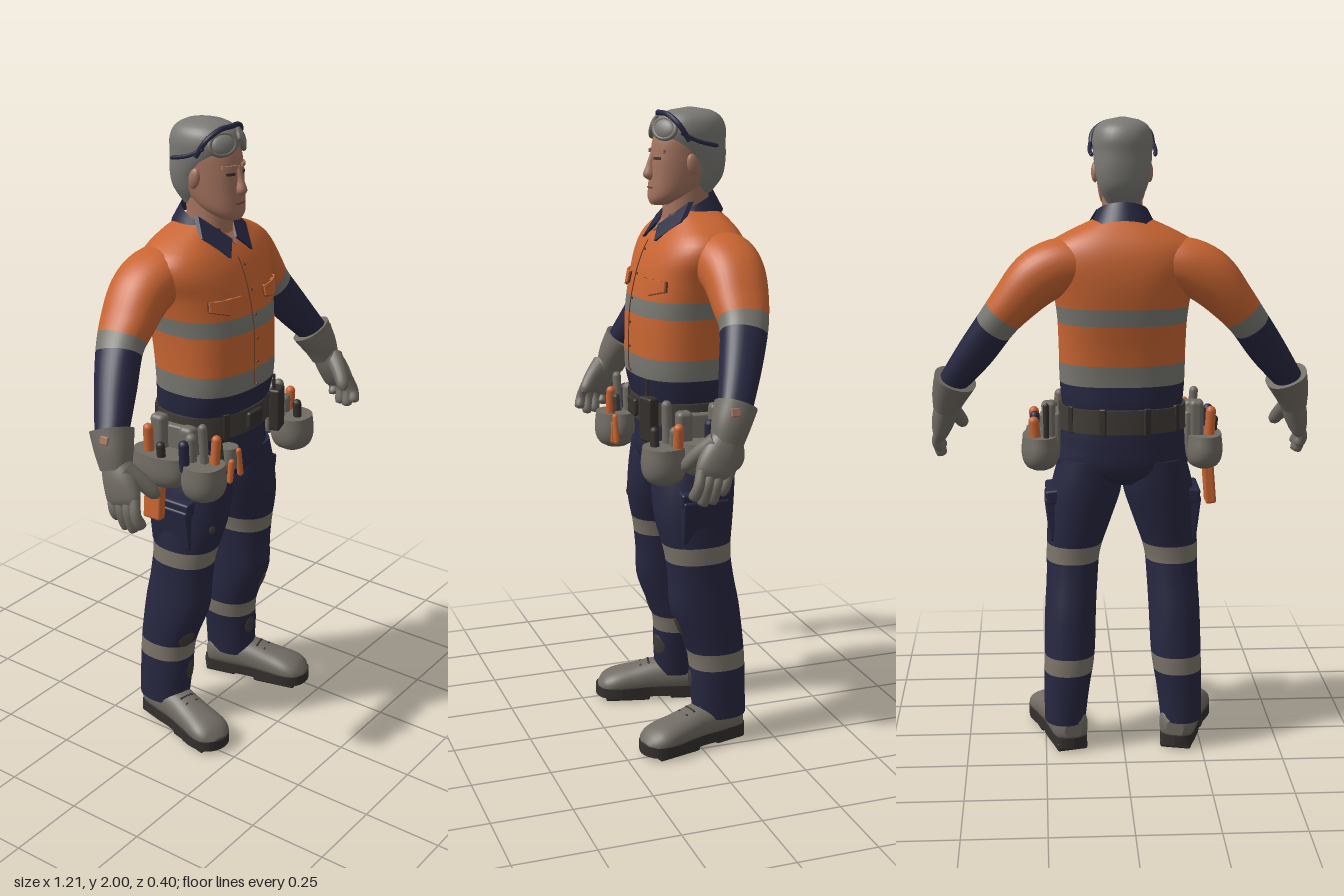
import * as THREE from 'three';
import { RoundedBoxGeometry } from 'three/addons/geometries/RoundedBoxGeometry.js';

const mat = (name, color) => Object.assign(new THREE.MeshStandardMaterial({ color }), { name });
const orange = mat('orange', 0xc96532), navy = mat('navy', 0x272741), tape = mat('shirt tape', 0x787770), legTape = mat('trouser tape', 0x7b746a);
const hair = mat('hair grey', 0x7a7974), leather = mat('leather', 0x716c64), skin = mat('skin', 0xa3725e);
const rubber = mat('rubber', 0x34302d), belt = mat('belt brown', 0x403b36), seam = mat('seam', 0x6e3d26);
navy.side = THREE.DoubleSide;

const V = (...p) => new THREE.Vector3(...p);
const Z = V(0, 0, 1), Y = V(0, 1, 0);

// Smooth interpolation of key rows; column 0 is the parameter
function sample(k, t) {
  let i = 0;
  while (i < k.length - 2 && t > k[i + 1][0]) i++;
  const a = k[i], b = k[i + 1], p = k[i - 1] ?? a, q = k[i + 2] ?? b, h = b[0] - a[0];
  const u = THREE.MathUtils.clamp((t - a[0]) / h, 0, 1), u2 = u * u, u3 = u2 * u;
  return a.map((v, c) => (2 * u3 - 3 * u2 + 1) * v + (3 * u2 - 2 * u3) * b[c]
    + (u3 - 2 * u2 + u) * h * (b[c] - p[c]) / (b[0] - p[0]) + (u3 - u2) * h * (q[c] - a[c]) / (q[0] - a[0]));
}

// Rings along keys [t, x, y, z, ra, rb]; bands = [[tEnd, material], ...] colour it by t
function loft(name, keys, bands, { axis, ref = Z, steps = 24, seg = 32, n = 2.2 } = {}) {
  if (!Array.isArray(bands)) bands = [[Infinity, bands]];
  const t0 = keys[0][0], t1 = keys.at(-1)[0], pos = [], index = [];
  const ts = bands.map(b => b[0]).filter(t => t > t0 && t < t1);
  for (let i = 0; i <= steps; i++) {
    const t = t0 + (t1 - t0) * i / steps;
    if (!ts.some(o => Math.abs(o - t) < 1e-5)) ts.push(t);
  }
  ts.sort((a, b) => a - b);
  const e = (t1 - t0) * 0.01, at = t => V(...sample(keys, t).slice(1, 4));
  const ring = t => {
    const T = axis ?? at(t + e).sub(at(t - e)).normalize();
    const A = T.clone().cross(ref).normalize(), B = A.clone().cross(T), k = sample(keys, t);
    for (let j = 0; j < seg; j++) {
      const w = j / seg * Math.PI * 2, c = Math.cos(w), s = Math.sin(w);
      const f = (v, r) => Math.sign(v) * Math.abs(v) ** (2 / n) * Math.max(r, 0.001);
      pos.push(...at(t).addScaledVector(A, f(c, k[4])).addScaledVector(B, f(s, k[5])).toArray());
    }
  };
  ts.forEach(ring);
  const geo = new THREE.BufferGeometry();
  const bandOf = t => bands.findIndex(b => t < b[0]);
  for (let i = 0; i < ts.length - 1; i++) {
    geo.addGroup(index.length, seg * 6, bandOf((ts[i] + ts[i + 1]) / 2));
    for (let j = 0; j < seg; j++) {
      const a = i * seg + j, b = i * seg + (j + 1) % seg;
      index.push(a, a + seg, b, b, a + seg, b + seg);
    }
  }
  // end caps with their own vertices
  for (const [t, flip] of [[t0, false], [t1, true]]) {
    const s = pos.length / 3;
    ring(t);
    pos.push(...at(t).toArray());
    geo.addGroup(index.length, seg * 3, flip ? bands.length - 1 : 0);
    for (let j = 0; j < seg; j++) {
      const a = s + j, b = s + (j + 1) % seg;
      index.push(s + seg, ...(flip ? [b, a] : [a, b]));
    }
  }
  geo.setAttribute('position', new THREE.Float32BufferAttribute(pos, 3)).setIndex(index);
  geo.computeVertexNormals();
  const m = new THREE.Mesh(geo, bands.map(b => b[1]));
  m.name = name;
  return m;
}

// Upright loft from rows [y, cx, cz, rx, rz]
const column = (name, rows, bands, o = {}) =>
  loft(name, rows.map(([y, x, z, a, b]) => [y, x, y, z, a, b]), bands, { axis: Y, ...o });
// Round tube through points with a rounded tip
const tube = (name, pts, r, m) => loft(name,
  [...pts.map((p, i) => [i * 0.9 / (pts.length - 1), ...p, r, r]), [1, ...pts.at(-1).map((v, c) => v + (v - pts.at(-2)[c]) * 0.12), r * .35, r * .35]],
  m, { steps: 12, seg: 12, n: 2 });
const part = (name, geo, m, p = [0, 0, 0], r = [0, 0, 0], s = [1, 1, 1]) => {
  const o = new THREE.Mesh(geo, m);
  o.name = name; o.position.set(...p); o.rotation.set(...r); o.scale.set(...s);
  return o;
};
const rbox = (w, h, d, r = 0.008) => new RoundedBoxGeometry(w, h, d, 3, r);
// Lay a geometry on the front of a column
function hug(geo, rows, n = 2.2) {
  const p = geo.attributes.position;
  for (let i = 0; i < p.count; i++) {
    const [, cx, cz, rx, rz] = sample(rows, p.getY(i));
    const f = Math.max(0, 1 - (Math.abs(p.getX(i) - cx) / rx) ** n) ** (1 / n);
    p.setZ(i, p.getZ(i) + cz + rz * f);
  }
  geo.computeVertexNormals();
  return geo;
}

const TORSO_N = 2.5;
const torso = [[1.08, 0, -.02, .18, .14], [1.13, 0, -.015, .19, .15], [1.2, 0, -.008, .196, .157], [1.3, 0, -.012, .198, .162],
  [1.4, 0, -.022, .203, .167], [1.5, 0, -.037, .22, .162], [1.57, 0, -.047, .243, .148], [1.62, 0, -.054, .228, .127],
  [1.66, 0, -.057, .163, .1], [1.7, 0, -.05, .075, .07]];
const head = [[1.71, 0, .05, .025, .03], [1.725, 0, .035, .05, .052], [1.75, 0, .01, .066, .077], [1.8, 0, -.015, .076, .098],
  [1.86, 0, -.03, .081, .108], [1.92, 0, -.04, .08, .105], [1.97, 0, -.045, .06, .075], [1.985, 0, -.045, .03, .04]];
const legRows = s => [[.09, .188 * s, -.08, .066, .086], [.2, .181 * s, -.076, .073, .09], [.3, .172 * s, -.072, .08, .092],
  [.45, .167 * s, -.037, .082, .112], [.55, .161 * s, -.025, .082, .106], [.64, .156 * s, -.015, .086, .106], [.75, .135 * s, -.01, .102, .125],
  [.85, .114 * s, -.015, .112, .132], [.95, .1 * s, -.02, .1, .13]];

function buildArm(g, s) {
  const side = s > 0 ? 'left' : 'right';
  g.add(loft(side + 'Sleeve', [[0, .11 * s, 1.565, -.07, .078, .1], [.2, .2 * s, 1.553, -.083, .086, .1],
    [.35, .265 * s, 1.518, -.088, .086, .095], [.6, .34 * s, 1.44, -.082, .07, .084], [.75, .385 * s, 1.385, -.073, .062, .072],
    [1, .455 * s, 1.285, -.035, .058, .062], [1.2, .53 * s, 1.185, .01, .045, .05]],
  [[.69, orange], [.79, tape], [Infinity, navy]], { steps: 30 }));
  g.add(loft(side + 'GloveCuff', [[0, .523 * s, 1.192, .005, .068, .062], [.5, .543 * s, 1.14, .028, .056, .056],
    [1, .556 * s, 1.09, .045, .042, .047]], leather, { steps: 10 }));
  g.add(part(side + 'CuffPatch', rbox(.01, .026, .03, .004), skin, [.587 * s, 1.188, .03], [0, 0, .3 * s]));
  g.add(loft(side + 'Palm', [[0, .55 * s, 1.11, .04, .038, .046], [.5, .564 * s, 1.06, .068, .038, .056],
    [.9, .576 * s, 1.01, .09, .027, .057], [1, .577 * s, .995, .095, .016, .047]], leather, { steps: 12 }));
  [.955, .93, .927, .945].forEach((y, i) => {
    const z = .047 + .027 * i;
    g.add(tube(side + 'Finger', [[.576 * s, 1.025, z], [.589 * s, .98, z + .014], [.577 * s, y, z + .024]], .0165, leather));
  });
  g.add(loft(side + 'Thumb', [[0, .558 * s, 1.1, .075, .03, .032], [.5, .53 * s, 1.06, .12, .024, .025],
    [.9, .508 * s, 1.022, .15, .019, .019], [1, .503 * s, 1.012, .157, .008, .008]], leather, { steps: 14, seg: 16, n: 2 }));
}

function buildLeg(g, s) {
  const side = s > 0 ? 'left' : 'right';
  g.add(column(side + 'TrouserLeg', legRows(s),
    [[.255, navy], [.31, legTape], [.613, navy], [.668, legTape], [Infinity, navy]], { steps: 30 }));
  // cargo pocket
  g.add(part(side + 'CargoPocket', rbox(.04, .14, .15), navy, [.22 * s, .755, -.015], [0, 0, -.12 * s]));
  g.add(part(side + 'CargoFlap', rbox(.046, .045, .16), navy, [.22 * s, .828, -.015], [0, 0, -.12 * s]));
  // boot
  const boot = new THREE.Group();
  boot.name = side + 'Boot';
  boot.position.x = .203 * s;
  boot.rotation.y = .25 * s;
  boot.add(loft('bootUpper', [[-.16, 0, .07, -.16, .028, .03], [-.145, 0, .075, -.145, .052, .055], [-.08, 0, .08, -.08, .06, .06],
    [0, 0, .075, 0, .057, .056], [.08, 0, .064, .08, .061, .049], [.15, 0, .055, .15, .066, .041], [.185, 0, .048, .185, .052, .029],
    [.2, 0, .042, .2, .025, .012]], leather, { axis: Z, ref: Y }));
  boot.add(column('bootShaft', [[.07, 0, -.075, .058, .075], [.15, 0, -.085, .05, .06]], leather, { steps: 4 }));
  const half = [[.048, -.15], [.057, -.06], [.056, .02], [.07, .12], [.052, .185]];
  const outline = [[0, -.17], ...half, [0, .207], ...half.map(([x, z]) => [-x, z]).reverse()].map(p => new THREE.Vector2(...p));
  const sole = new THREE.Shape(new THREE.SplineCurve([...outline, outline[0]]).getPoints(48).slice(0, -1));
  boot.add(part('sole', new THREE.ExtrudeGeometry(sole, { depth: .034, bevelEnabled: false }), rubber, [0, .048, 0], [Math.PI / 2, 0, 0]));
  boot.add(part('heel', rbox(.1, .03, .11), rubber, [0, .015, -.1]));
  boot.add(part('forefootTread', rbox(.115, .03, .15), rubber, [0, .015, .1]));
  for (let i = 0; i < 3; i++)
    boot.add(part('lace', rbox(.05, .006, .007, .002), rubber, [0, .131 - i * .008, .0 + i * .027], [.25, 0, 0]));
  g.add(boot);
}

function buildPouch(g, x, z, rx, rz, y0, y1) {
  const h = y1 - y0;
  g.add(column('toolPouch', [[y0, x, z, rx * .5, rz * .5], [y0 + h * .12, x, z, rx * .82, rz * .82], [y0 + h * .45, x, z, rx, rz],
    [y1, x, z, rx * .93, rz * .93]], leather, { steps: 12 }));
}

export function createModel() {
  const g = new THREE.Group();
  g.name = 'worker';

  // shirt and trousers
  g.add(column('shirt', torso, [[1.19, navy], [1.255, tape], [1.38, orange], [1.432, tape], [Infinity, orange]], { steps: 40, seg: 48, n: TORSO_N }));
  g.add(column('trouserSeat', [[.87, 0, -.02, .1, .09], [.91, 0, -.02, .2, .132], [1, 0, -.022, .2, .142], [1.1, 0, -.02, .186, .142]], navy));
  g.add(part('placketSeam', hug(new THREE.BoxGeometry(.0025, .4, .004, 1, 24, 1).translate(-.015, 1.4, 0), torso, TORSO_N), seam));
  for (let i = 0; i < 6; i++)
    g.add(part('button', hug(new THREE.CylinderGeometry(.004, .004, .006, 10).rotateX(Math.PI / 2).translate(0, 1.2 + i * .075, 0), torso, TORSO_N), seam));
  for (const s of [1, -1]) {
    const flap = (w, h, d, y) => {
      const b = new THREE.BoxGeometry(w, h, d, 8, 2, 1), p = b.attributes.position;
      for (let i = 0; i < p.count; i++)
        if (p.getY(i) < -h * .4) p.setY(i, p.getY(i) - (1 - Math.abs(p.getX(i)) / w * 2) * .016);
      return hug(b.translate(.113 * s, y, 0), torso, TORSO_N);
    };
    g.add(part('pocketFlap', flap(.11, .03, .02, 1.482), orange));
    g.add(part('pocketFlapEdge', flap(.111, .033, .01, 1.4805), seam));
    buildArm(g, s);
    buildLeg(g, s);
  }
  // worn patches on the trousers
  for (const [x, y, w, h] of [[.178, .395, .016, .032], [-.2, .335, .026, .028], [-.16, .2, .03, .035], [.17, .21, .022, .03], [-.175, .75, .01, .014]])
    g.add(part('wornPatch', hug(new THREE.SphereGeometry(1, 16, 10).scale(w, h, .004).translate(x, y, 0), legRows(Math.sign(x))), belt));

  // collar
  const stand = new THREE.CylinderGeometry(.08, .11, .068, 40, 3, true, .45, Math.PI * 2 - .9);
  const sp = stand.attributes.position;
  for (let i = 0; i < sp.count; i++) sp.setY(i, sp.getY(i) - sp.getZ(i) * .45);
  stand.computeVertexNormals();
  g.add(part('collarStand', stand, navy, [0, 1.68, -.037]));
  const drape = geo => {
    const p = geo.attributes.position;
    for (let i = 0; i < p.count; i++)
      p.setZ(i, p.getZ(i) + .093 - (p.getY(i) - 1.6) * .85 - Math.abs(p.getX(i)) * .25);
    geo.computeVertexNormals();
    return geo;
  };
  const plate = (pts, depth) => drape(new THREE.ExtrudeGeometry(new THREE.Shape(pts.map(p => new THREE.Vector2(...p))), { depth, bevelEnabled: false }));
  for (const s of [1, -1])
    g.add(part('collarPoint', plate([[.012 * s, 1.65], [.078 * s, 1.722], [.11 * s, 1.665], [.055 * s, 1.605]], .016), navy));
  g.add(part('openNeck', plate([[0, 1.63], [.05, 1.69], [-.05, 1.69]], .008), skin));

  // head
  g.add(column('neck', [[1.6, 0, -.03, .07, .075], [1.68, 0, -.03, .064, .07], [1.8, 0, -.035, .06, .07]], skin));
  g.add(column('head', head, skin, { steps: 32 }));
  g.add(column('hair', [[1.745, 0, -.075, .05, .035], [1.79, 0, -.08, .072, .064], [1.84, 0, -.076, .084, .078], [1.9, 0, -.05, .09, .105],
    [1.94, 0, -.045, .091, .11], [1.975, 0, -.045, .077, .092], [1.994, 0, -.045, .045, .055], [2, 0, -.045, .01, .012]], hair, { steps: 32 }));
  g.add(column('nose', [[1.785, 0, .08, .01, .01], [1.797, 0, .084, .018, .021], [1.83, 0, .077, .011, .018], [1.872, 0, .068, .009, .012]], skin, { steps: 12, seg: 16 }));
  g.add(part('mouth', hug(new THREE.BoxGeometry(.044, .004, .005, 8, 1, 1).translate(0, 1.762, 0), head), seam));
  for (const s of [1, -1]) {
    g.add(part('ear', new THREE.SphereGeometry(1, 16, 12), skin, [.083 * s, 1.835, -.025], [.2, 0, 0], [.012, .032, .019]));
    g.add(part('eye', hug(new THREE.BoxGeometry(.026, .008, .004, 6, 1, 1).translate(.032 * s, 1.851, 0), head), rubber));
    g.add(part('brow', hug(new THREE.BoxGeometry(.042, .01, .014, 6, 1, 1).translate(.034 * s, 1.872, 0), head), skin));
    // goggles pushed up on the forehead
    g.add(part('goggleRim', new THREE.TorusGeometry(.034, .007, 10, 28), leather, [.046 * s, 1.94, .052], [-.35, .55 * s, 0], [1.2, .9, 1]));
    g.add(part('goggleLens', new THREE.SphereGeometry(1, 20, 12), hair, [.046 * s, 1.94, .052], [-.35, .55 * s, 0], [.039, .03, .014]));
    g.add(tube('goggleArm', [[.093 * s, 1.93, .015], [.1 * s, 1.905, -.035], [.096 * s, 1.89, -.095]], .006, navy));
  }
  g.add(part('goggleBridge', rbox(.03, .014, .016, .005), leather, [0, 1.947, .071]));
  const brace = new THREE.CatmullRomCurve3([[-.096, 1.905, -.01], [-.086, 1.955, .022], [-.045, 1.982, .042], [0, 1.984, .048],
    [.045, 1.982, .042], [.086, 1.955, .022], [.096, 1.905, -.01]].map(p => V(...p)));
  g.add(part('goggleBackRim', new THREE.TubeGeometry(brace, 40, .008, 10), navy));

  // tool belt
  g.add(column('belt', [[1.045, 0, -.02, .203, .158], [1.12, 0, -.02, .199, .157]], belt, { steps: 2, seg: 48 }));
  g.add(part('buckle', rbox(.07, .055, .018), rubber, [0, 1.083, .142]));
  for (const a of [.6, 2.2, 2.8, 3.5, 4.1, 5.7])
    g.add(part('beltLoop', rbox(.022, .085, .014, .004), rubber, [Math.sin(a) * .2, 1.083, -.02 + Math.cos(a) * .16], [0, a, 0]));
  g.add(part('radio', rbox(.06, .14, .036), rubber, [.133, 1.07, .135], [0, .3, 0]));
  g.add(part('radioAntenna', new THREE.CylinderGeometry(.005, .006, .06, 10), rubber, [.115, 1.16, .135]));
  for (const s of [1, -1]) {
    g.add(part('pouchHanger', rbox(.03, .15, .14), leather, [.205 * s, 1.02, 0], [0, -.1 * s, 0]));
    g.add(part('toolSleeve', rbox(.045, .13, .05, .015), leather, [.232 * s, 1.065, -.05]));
    g.add(part('toolSleeve', rbox(.045, .12, .05, .015), leather, [.225 * s, 1.05, .055]));
    buildPouch(g, .24 * s, .125, .068, .068, .895, 1.01);
    buildPouch(g, .258 * s, -.025, .06, .103, .912, 1.02);
  }
  buildPouch(g, -.125, .135, .03, .03, .95, 1.03);
  // tool handles: x, z, bottom, top, radius, material, lean
  for (const [x, z, y0, y1, r, m, lean] of [
    [.275, .09, .98, 1.085, .016, orange, -.08], [.23, .15, .98, 1.07, .014, rubber, .1], [.2, .1, .98, 1.14, .016, leather, .08],
    [.275, -.07, .98, 1.085, .017, orange, -.1], [.275, -.01, .98, 1.09, .015, navy, 0], [.24, -.09, .98, 1.13, .009, rubber, 0],
    [.245, .09, .98, 1.07, .018, leather, -.05], [-.245, .08, .98, 1.1, .018, leather, 0],
    [-.235, .12, .98, 1.14, .014, leather, .08], [-.28, .08, .98, 1.09, .016, navy, .06], [-.215, .15, .98, 1.1, .015, orange, -.1],
    [-.29, 0, .98, 1.07, .014, rubber, .1], [-.275, -.06, .98, 1.11, .016, orange, .05], [-.18, .14, .97, 1.08, .012, belt, .15],
    [-.112, .165, .93, 1.03, .01, orange, .15], [-.15, .16, .92, 1.0, .01, orange, -.15]])
    g.add(part('toolHandle', new THREE.CapsuleGeometry(r, y1 - y0 - 2 * r, 4, 12), m, [x, (y0 + y1) / 2, z], [0, 0, lean]));
  g.add(part('hammerHandle', rbox(.034, .14, .065), orange, [-.275, .865, -.04], [0, 0, -.08]));
  return g;
}
